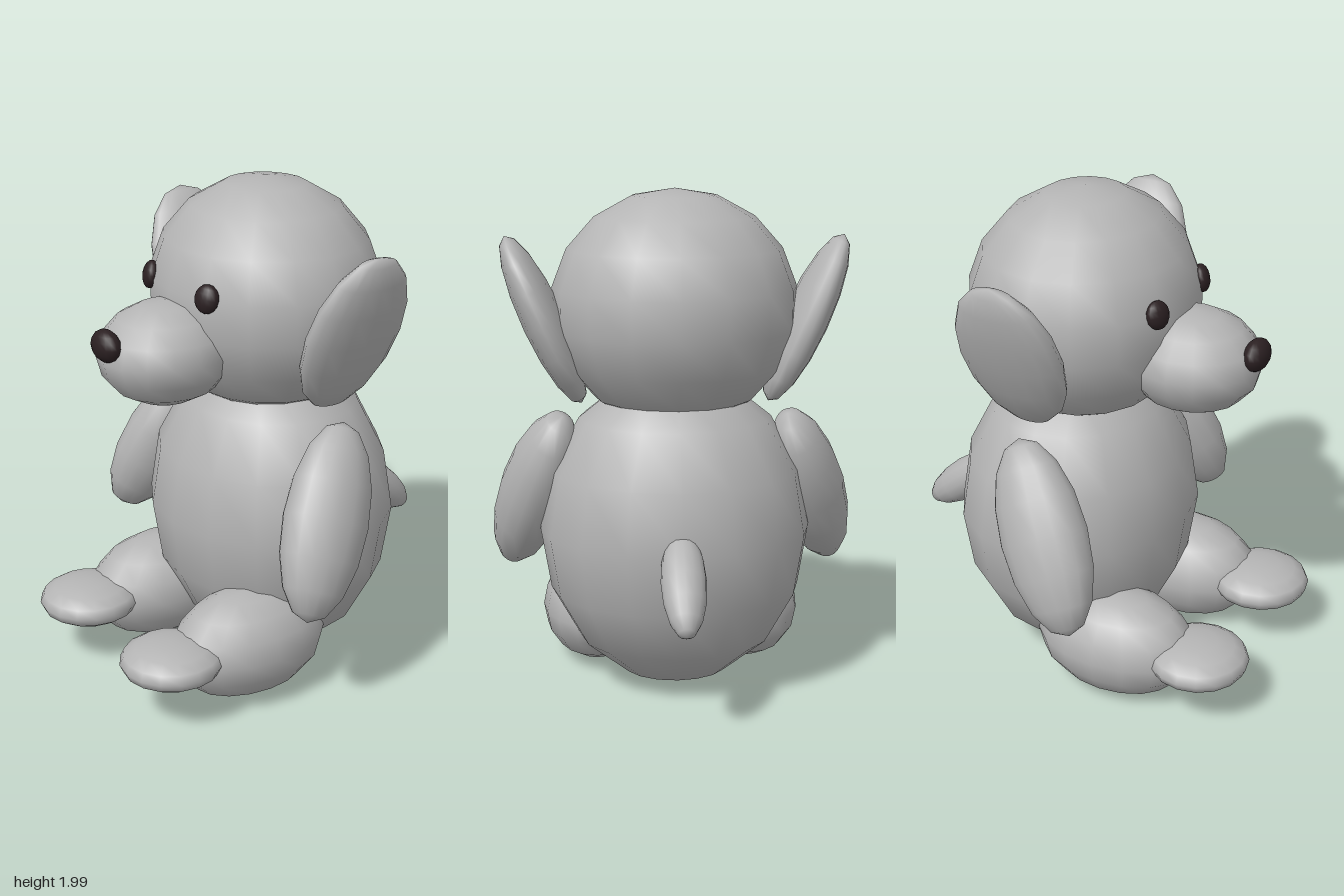
import * as THREE from 'three';

export function createModel() {
  const group = new THREE.Group();
  const fur = new THREE.MeshStandardMaterial({ color: 0xb4b4b4 });
  fur.name = 'greyFur';
  const dark = new THREE.MeshStandardMaterial({ color: 0x2b2022 });
  dark.name = 'darkBrown';
  const rad = THREE.MathUtils.degToRad;

  // Smooth, low-segment ellipsoid: every part of the toy is one of these
  function ellipsoid(name, material, position, radii, rotation = [0, 0, 0], rows = 8) {
    const geometry = new THREE.SphereGeometry(1, 16, rows);
    geometry.scale(...radii);
    const mesh = new THREE.Mesh(geometry, material);
    mesh.name = name;
    mesh.position.set(...position);
    mesh.rotation.set(...rotation.map(rad));
    group.add(mesh);
  }

  // Same ellipsoid on the left (+x) and mirrored on the right
  function pair(name, material, [x, y, z], radii, [rx, ry, rz] = [0, 0, 0]) {
    for (const [side, s] of [['left', 1], ['right', -1]]) {
      ellipsoid(side + name, material, [s * x, y, z], radii, [rx, s * ry, s * rz]);
    }
  }

  // Torso and head
  ellipsoid('body', fur, [0, 0.65, -0.08], [0.54, 0.64, 0.475]);
  ellipsoid('head', fur, [0, 1.535, -0.055], [0.49, 0.465, 0.455], [0, 0, 0], 9);

  // Face
  ellipsoid('muzzle', fur, [0, 1.38, 0.41], [0.248, 0.203, 0.275]);
  ellipsoid('nose', dark, [0, 1.452, 0.672], [0.08, 0.063, 0.048]);
  pair('Eye', dark, [0.195, 1.625, 0.35], [0.051, 0.056, 0.032], [-12, 22, 0]);

  // Ears lean outwards
  pair('Ear', fur, [0.515, 1.492, -0.09], [0.085, 0.36, 0.218], [0, 0, -24]);

  // Arms hang out and forward
  pair('Arm', fur, [0.56, 0.78, 0.06], [0.145, 0.39, 0.185], [-27, 0, 17]);

  // Seated legs with flat feet
  pair('Leg', fur, [0.315, 0.227, 0.25], [0.223, 0.22, 0.338]);
  pair('Foot', fur, [0.315, 0.247, 0.61], [0.205, 0.086, 0.203]);

  // Drooping tail
  ellipsoid('tail', fur, [0, 0.58, -0.62], [0.087, 0.242, 0.087], [51, 0, 0]);

  return group;
}
